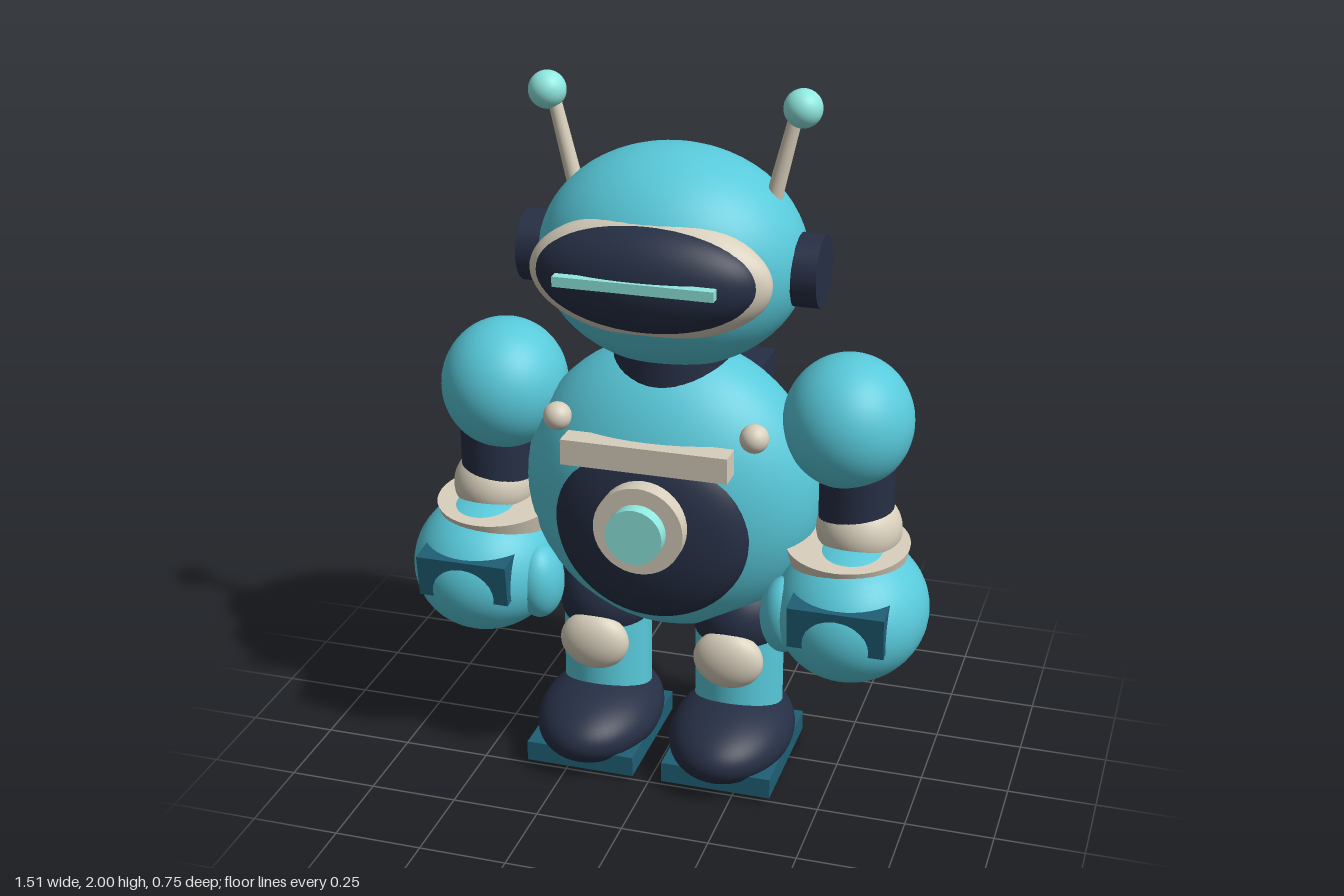
import * as THREE from 'three';

const mat = (color) => new THREE.MeshStandardMaterial({ color });
const CYAN = mat(0x58c9da), NAVY = mat(0x262f45), CREAM = mat(0xd8cfbc), GLOW = mat(0x8fe8e0), TEAL = mat(0x1f5f75);

function add(parent, name, geometry, material, x, y, z) {
  const mesh = new THREE.Mesh(geometry, material);
  mesh.name = name;
  mesh.position.set(x, y, z);
  parent.add(mesh);
  return mesh;
}

// Ellipsoid with baked radii
const ball = (rx, ry = rx, rz = rx) => new THREE.SphereGeometry(1, 48, 32).scale(rx, ry, rz);
const box = (w, h, d) => new THREE.BoxGeometry(w, h, d);
const tube = (rTop, rBottom, h) => new THREE.CylinderGeometry(rTop, rBottom, h, 40);

function buildHead() {
  const head = new THREE.Group();
  head.name = 'head';
  add(head, 'skull', ball(0.372, 0.305, 0.307), CYAN, 0, 1.52, 0);
  add(head, 'visorRim', ball(0.333, 0.17, 0.11), CREAM, 0, 1.525, 0.215);
  add(head, 'visor', ball(0.31, 0.152, 0.13), NAVY, 0, 1.53, 0.23);
  add(head, 'eyeSlit', box(0.435, 0.028, 0.03), GLOW, 0, 1.54, 0.355);
  for (const s of [1, -1]) {
    add(head, 'ear', tube(0.1, 0.1, 0.14).rotateZ(Math.PI / 2), NAVY, s * 0.35, 1.51, 0);
    const rod = add(head, 'antennaRod', tube(0.018, 0.023, 0.28), CREAM, s * 0.305, 1.81, 0);
    rod.rotation.z = -s * 0.24;
    add(head, 'antennaTip', ball(0.052), GLOW, s * 0.352, 1.948, 0);
  }
  return head;
}

function buildTorso() {
  const torso = new THREE.Group();
  torso.name = 'torso';
  add(torso, 'neck', tube(0.165, 0.165, 0.2), NAVY, 0, 1.2, 0);
  add(torso, 'body', ball(0.425, 0.43, 0.28), CYAN, 0, 0.845, 0);
  add(torso, 'bellyPanel', ball(0.28, 0.275, 0.11), NAVY, 0, 0.795, 0.195);
  add(torso, 'buttonRing', tube(0.127, 0.127, 0.1).rotateX(Math.PI / 2), CREAM, 0, 0.838, 0.285);
  add(torso, 'button', tube(0.08, 0.08, 0.1).rotateX(Math.PI / 2), GLOW, 0, 0.838, 0.325);
  add(torso, 'chestBar', box(0.47, 0.073, 0.07), CREAM, 0, 1.023, 0.25);
  for (const s of [1, -1]) add(torso, 'chestBolt', ball(0.04), CREAM, s * 0.28, 1.08, 0.175);
  // Backpack with vents
  add(torso, 'backpack', box(0.41, 0.432, 0.22), NAVY, 0, 0.923, -0.242);
  for (const x of [-0.122, 0, 0.122]) add(torso, 'backpackVent', box(0.036, 0.225, 0.04), CREAM, x, 0.935, -0.35);
  return torso;
}

function buildArm(s) {
  const arm = new THREE.Group();
  arm.name = s > 0 ? 'leftArm' : 'rightArm';
  add(arm, 'shoulder', ball(0.18, 0.188, 0.19), CYAN, s * 0.5, 1.09, 0);
  add(arm, 'upperArm', tube(0.105, 0.105, 0.25), NAVY, s * 0.53, 0.93, 0);
  add(arm, 'forearm', ball(0.12, 0.11, 0.12), CREAM, s * 0.54, 0.775, 0);

  const cuff = add(arm, 'cuff', tube(0.174, 0.155, 0.08), CREAM, s * 0.518, 0.708, 0.04);
  cuff.rotation.x = 0.1;

  // Hand tips slightly forward
  const hand = new THREE.Group();
  hand.name = 'hand';
  hand.position.set(s * 0.54, 0.56, 0.068);
  hand.rotation.x = 0.12;
  arm.add(hand);
  add(hand, 'palm', ball(0.216, 0.2, 0.233), CYAN, 0, 0, 0);
  add(hand, 'knucklePlate', box(0.268, 0.125, 0.08), TEAL, 0, 0.048, 0.17);
  add(hand, 'thumb', ball(0.068, 0.115, 0.085), CYAN, -s * 0.178, -0.015, 0.06);
  return arm;
}

function buildLeg(s) {
  const leg = new THREE.Group();
  leg.name = s > 0 ? 'leftLeg' : 'rightLeg';
  leg.position.x = s * 0.2;
  add(leg, 'hip', ball(0.138), NAVY, 0, 0.465, 0);
  add(leg, 'shin', tube(0.128, 0.128, 0.29), CYAN, 0, 0.28, -0.003);
  add(leg, 'kneePad', ball(0.102, 0.088, 0.055), CREAM, 0, 0.367, 0.122);
  add(leg, 'foot', ball(0.177, 0.113, 0.257), NAVY, 0, 0.113, 0.068);
  add(leg, 'solePlate', box(0.32, 0.06, 0.4), TEAL, s * 0.003, 0.05, 0.065);
  return leg;
}

export function createModel() {
  const model = new THREE.Group();
  model.name = 'robot';
  model.add(buildHead(), buildTorso());
  for (const s of [1, -1]) model.add(buildArm(s), buildLeg(s));
  return model;
}
